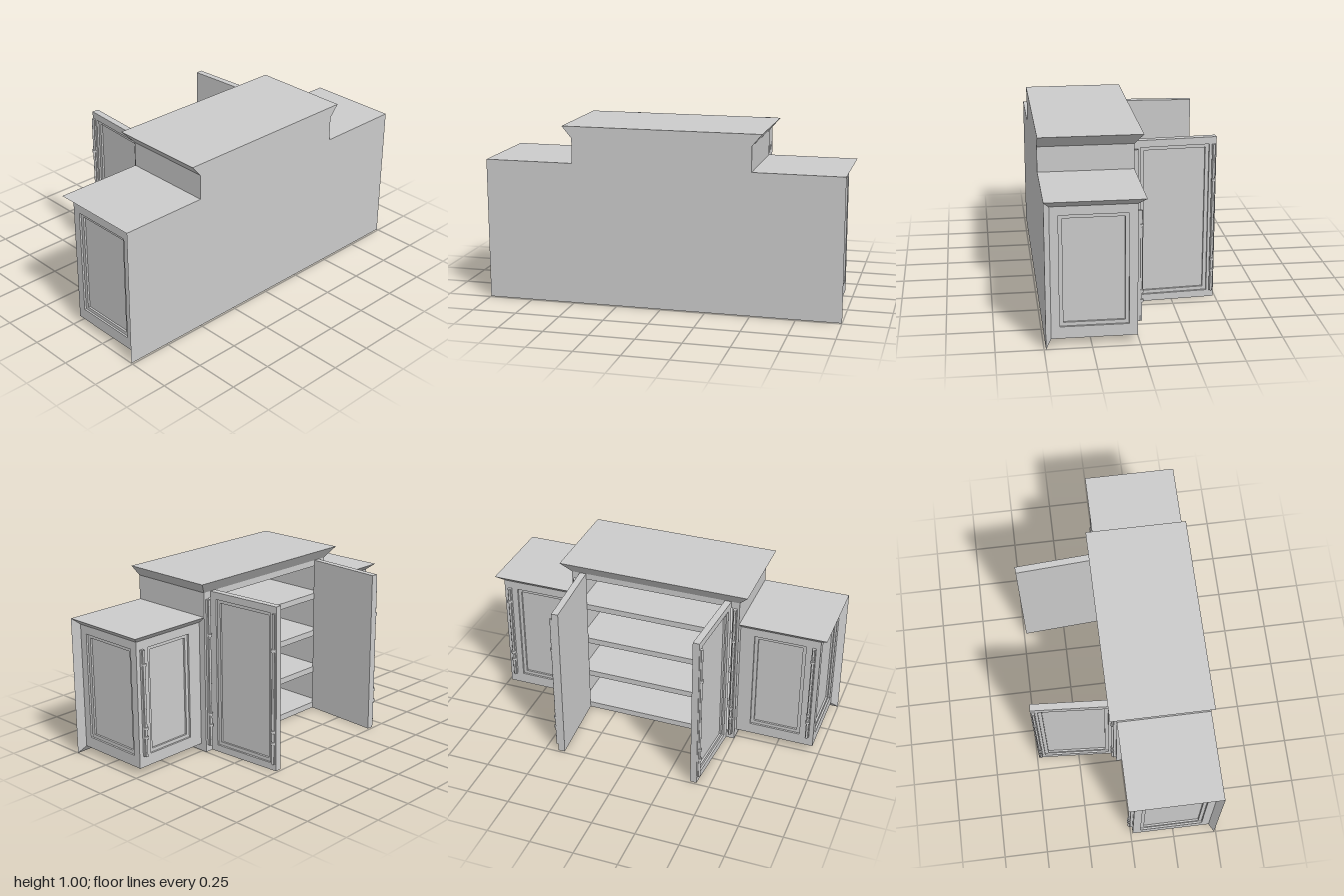
import * as THREE from 'three';
import { ConvexGeometry } from 'three/addons/geometries/ConvexGeometry.js';

const mat = new THREE.MeshStandardMaterial({ color: 0xcccccc, flatShading: true });

function add(parent, name, geo, x = 0, y = 0, z = 0) {
  const m = new THREE.Mesh(geo, mat);
  m.name = name;
  m.position.set(x, y, z);
  parent.add(m);
  return m;
}

// box given by its min and max corners
function block(parent, name, x0, x1, y0, y1, z0, z1) {
  return add(parent, name, new THREE.BoxGeometry(Math.abs(x1 - x0), y1 - y0, z1 - z0),
    (x0 + x1) / 2, (y0 + y1) / 2, (z0 + z1) / 2);
}

// solid between two axis-aligned rectangles, each [x0, x1, y0, y1, z0, z1] with one flat axis
function flare(parent, name, ...rects) {
  const pts = [];
  for (const r of rects)
    for (const x of [r[0], r[1]]) for (const y of [r[2], r[3]]) for (const z of [r[4], r[5]])
      pts.push(new THREE.Vector3(x, y, z));
  return add(parent, name, new ConvexGeometry(pts));
}

function rect(path, x0, x1, y0, y1) {
  return path.moveTo(x0, y0).lineTo(x1, y0).lineTo(x1, y1).lineTo(x0, y1).closePath();
}

// panel facing +z (outer face at z = 0) with a two-step sunken field
function sunkenPanel(name, w, h, t, mx, bottom, top) {
  const g = new THREE.Group();
  g.name = name;
  const step = 0.011;
  for (let i = 0; i < 2; i++) {
    const e = i * 0.02;
    const s = rect(new THREE.Shape(), -w / 2, w / 2, 0, h);
    s.holes.push(rect(new THREE.Path(), -w / 2 + mx + e, w / 2 - mx - e, bottom + e, h - top - e));
    add(g, name + 'Frame', new THREE.ExtrudeGeometry(s, { depth: step, bevelEnabled: false }),
      0, 0, -(i + 1) * step);
  }
  block(g, name + 'Field', -w / 2, w / 2, 0, h, -t, -2 * step);
  return g;
}

// upright rod on a backing strip with ring knuckles, standing proud along +z
function hingePost(name, y0, y1, rings, reach) {
  const g = new THREE.Group();
  g.name = name;
  block(g, 'hingeStrip', -0.01, 0.01, y0, y1, 0, reach * 0.75);
  add(g, 'hingeRod', new THREE.CylinderGeometry(0.006, 0.006, y1 - y0, 12), 0, (y0 + y1) / 2, reach);
  for (const y of rings)
    add(g, 'hingeRing', new THREE.CylinderGeometry(0.012, 0.012, 0.016, 12), 0, y, reach);
  return g;
}

export function createModel() {
  const root = new THREE.Group();
  root.name = 'cabinet';

  // central carcass, open at the back
  block(root, 'frontWall', -0.5, 0.5, 0, 0.935, 0.455, 0.49);
  block(root, 'carcassTop', -0.5, 0.5, 0.9, 0.935, -0.03, 0.455);
  for (let i = 0; i < 4; i++)
    block(root, 'shelf', -0.46, 0.46, i * 0.232, i * 0.232 + 0.035, -0.03, 0.455);
  flare(root, 'centreCornice',
    [-0.5, 0.5, 0.935, 0.935, -0.03, 0.49],
    [-0.555, 0.555, 1, 1, -0.075, 0.49]);

  for (const s of [1, -1]) {
    block(root, 'centreSide', s * 0.46, s * 0.5, 0, 0.935, -0.03, 0.455);

    // lower side cabinet with flared top and front
    const side = new THREE.Group();
    side.name = s > 0 ? 'leftCabinet' : 'rightCabinet';
    root.add(side);
    block(side, 'sideCore', s * 0.5, s * 0.93, 0.04, 0.76, 0.04, 0.46);
    flare(side, 'sideCornice',
      [s * 0.5, s * 0.96, 0.76, 0.76, 0.01, 0.46],
      [s * 0.5, s, 0.795, 0.795, -0.03, 0.49]);
    flare(side, 'sideFront',
      [s * 0.5, s * 0.96, 0.04, 0.76, 0.46, 0.46],
      [s * 0.5, s, 0, 0.795, 0.49, 0.49]);

    const end = sunkenPanel('endPanel', 0.45, 0.72, 0.03, 0.045, 0.065, 0.048);
    end.position.set(s * 0.96, 0.04, 0.235);
    end.rotation.y = s * Math.PI / 2;
    const back = sunkenPanel('sideDoor', 0.46, 0.72, 0.03, 0.082, 0.065, 0.048);
    back.position.set(s * 0.73, 0.04, 0.01);
    back.rotation.y = Math.PI;
    const sidePost = hingePost('sideHinge', 0.105, 0.712, [0.631, 0.27, 0.217], 0.02);
    sidePost.position.set(s * 0.925, 0, 0.01);
    sidePost.rotation.y = Math.PI;
    side.add(end, back, sidePost);

    // hinge post on the central frame
    const post = hingePost('mainHinge', 0.04, 0.895, [0.694, 0.231, 0.164], 0.02);
    post.position.set(s * 0.478, 0, -0.03);
    post.rotation.y = Math.PI;
    root.add(post);

    // tall door swung open just past square
    const door = sunkenPanel('mainDoor', 0.46, 0.935, 0.038, 0.04, 0.04, 0.04);
    door.position.set(s * 0.437, 0, -0.26);
    door.rotation.y = s * (Math.PI / 2 + 0.064);
    const latch = hingePost('doorEdgePost', 0.04, 0.895, [0.694, 0.231, 0.164], 0.011);
    latch.position.x = s * 0.215;
    door.add(latch);
    root.add(door);
  }
  return root;
}
